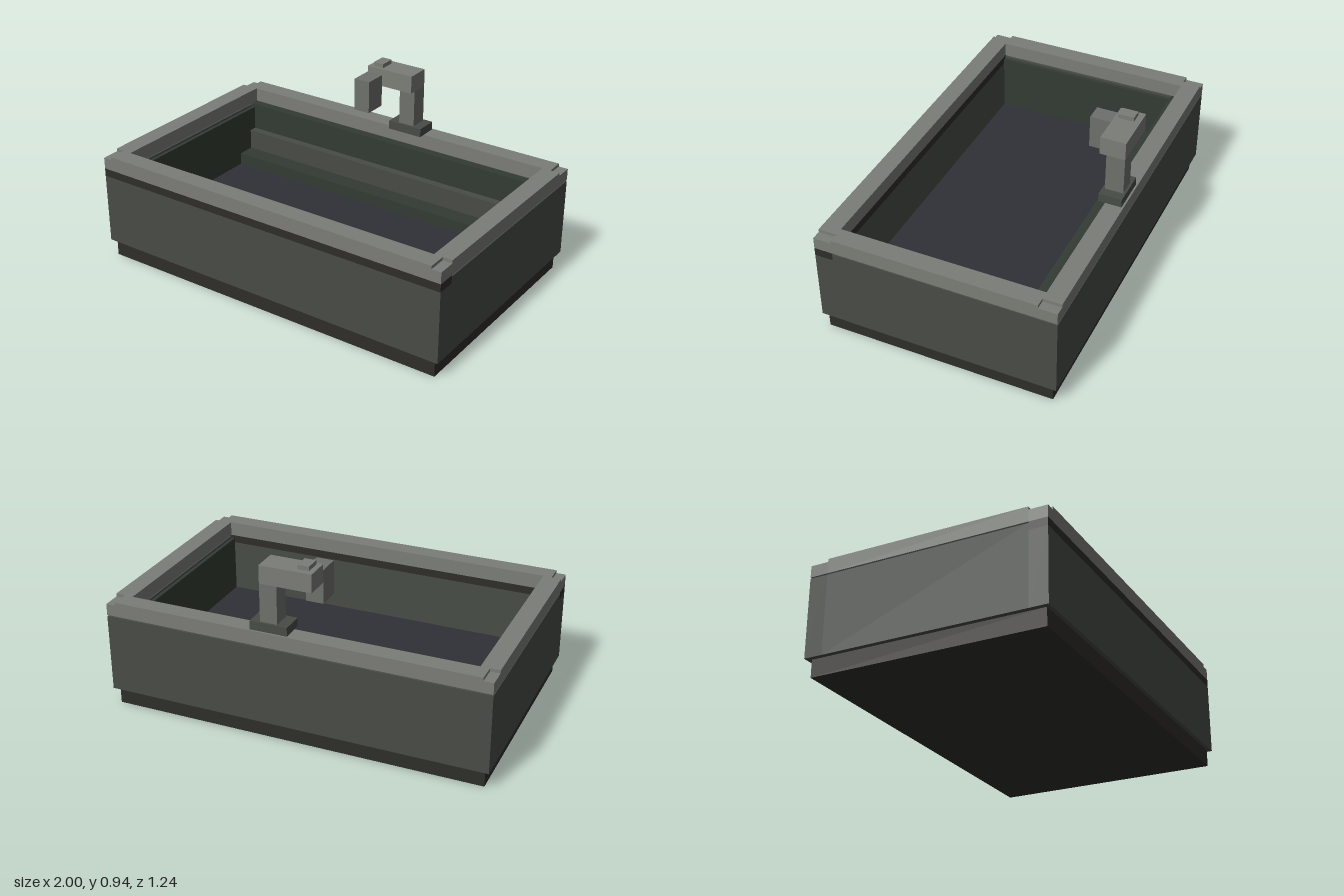
import * as THREE from 'three';

const mat = (color) => new THREE.MeshStandardMaterial({ color });

export function createModel() {
  const model = new THREE.Group();
  const stone = mat(0x7b7d77), wall = mat(0x484c45), dark = mat(0x2e2d29);
  const green = mat(0x333b33), floorMat = mat(0x303136), spoutMat = mat(0x6e706c);

  // Box given by its extents along each axis
  const box = (name, material, [x0, x1], [y0, y1], [z0, z1], parent = model) => {
    const mesh = new THREE.Mesh(new THREE.BoxGeometry(x1 - x0, y1 - y0, z1 - z0), material);
    mesh.position.set((x0 + x1) / 2, (y0 + y1) / 2, (z0 + z1) / 2);
    mesh.name = name;
    parent.add(mesh);
    return mesh;
  };
  // Extents mirrored to the side s = 1 or -1
  const side = (s, a, b) => (s > 0 ? [a, b] : [-b, -a]);

  // Recessed plinth and basin floor
  box('plinth', dark, [-0.975, 0.975], [0, 0.09], [-0.595, 0.6]);
  box('floor', floorMat, [-0.905, 0.905], [0.09, 0.185], [-0.53, 0.525]);

  // Outer walls; the front one carries a dark band under the rim
  box('frontWall', wall, [-1, 1], [0.09, 0.465], [0.525, 0.62]);
  box('frontBand', dark, [-1, 1], [0.465, 0.507], [0.525, 0.62]);
  box('backWall', wall, [-1, 1], [0.09, 0.5], [-0.62, -0.525]);
  for (const s of [1, -1]) {
    box('sideWall', wall, side(s, 0.905, 1), [0.09, 0.5], [-0.525, 0.525]);
    box('sideLining', green, side(s, 0.885, 0.905), [0.185, 0.49], [-0.476, 0.525]);
  }

  // Back lining and the two steps in front of it
  box('backLining', green, [-0.905, 0.905], [0.185, 0.507], [-0.525, -0.476]);
  box('upperStep', wall, [-0.885, 0.885], [0.185, 0.36], [-0.476, -0.433]);
  box('lowerStep', green, [-0.885, 0.885], [0.185, 0.25], [-0.476, -0.337]);

  // Rim bars with lower corner blocks
  for (const s of [1, -1]) {
    box('rimLong', stone, [-0.95, 0.95], [0.507, 0.583], side(s, 0.525, 0.62));
    box('rimShort', stone, side(s, 0.905, 1), [0.507, 0.583], [-0.525, 0.525]);
    for (const t of [1, -1])
      box('rimCorner', stone, side(s, 0.95, 1), [0.507, 0.567], side(t, 0.525, 0.62));
  }

  // Faucet
  const faucet = new THREE.Group();
  faucet.name = 'faucet';
  model.add(faucet);
  box('faucetBase', wall, [0.015, 0.21], [0.583, 0.628], [-0.61, -0.49], faucet);
  box('faucetPost', spoutMat, [0.07, 0.16], [0.628, 0.826], [-0.598, -0.503], faucet);
  box('faucetArm', stone, [-0.11, 0.16], [0.826, 0.92], [-0.598, -0.468], faucet);
  box('faucetSpout', spoutMat, [-0.11, -0.02], [0.715, 0.888], [-0.468, -0.345], faucet);
  box('faucetButton', stone, [-0.083, -0.025], [0.92, 0.942], [-0.567, -0.485], faucet);

  return model;
}
